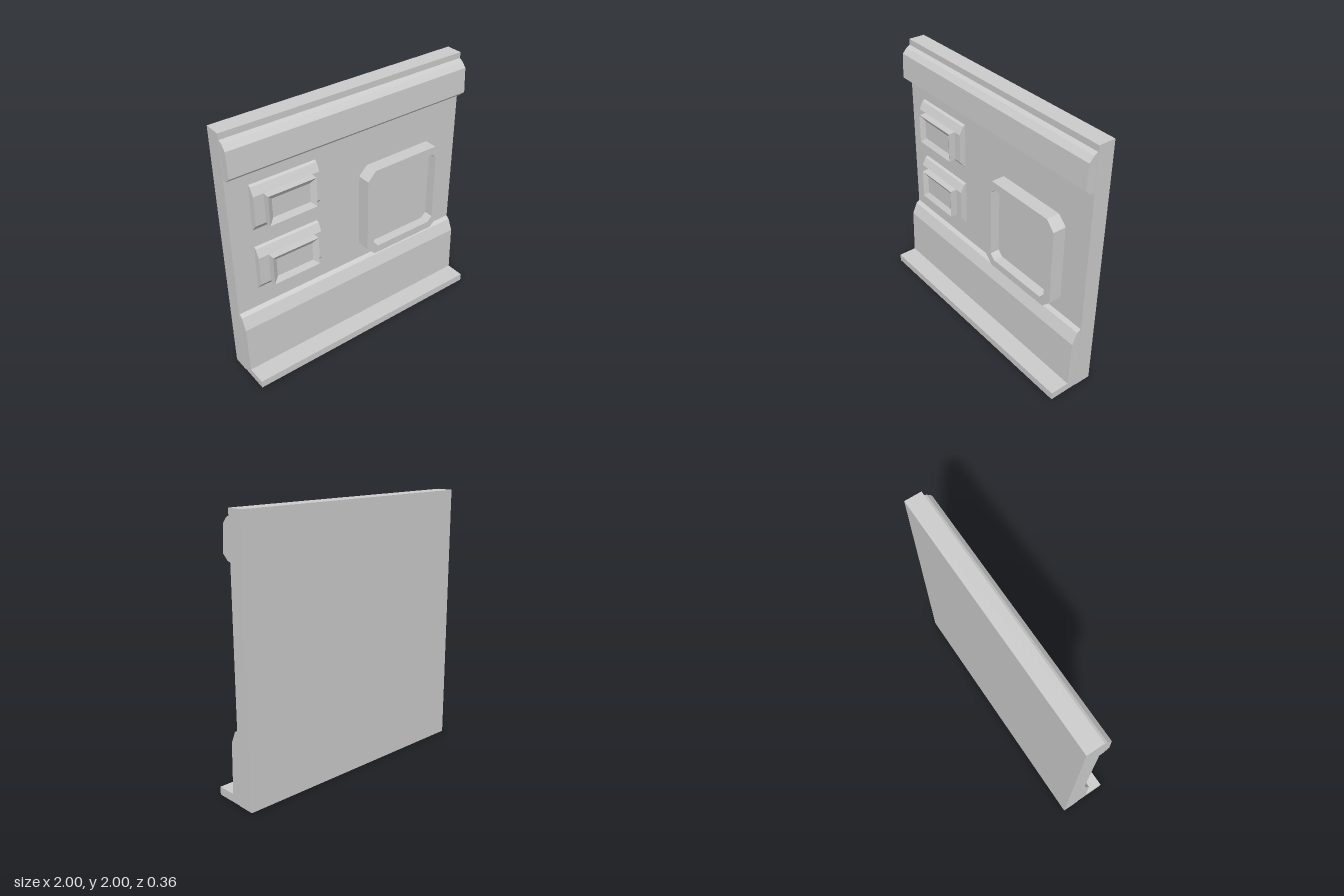
import * as THREE from 'three';

const WALL = -0.05; // front plane of the back slab

export function createModel() {
  const group = new THREE.Group();
  const material = new THREE.MeshStandardMaterial({ color: 0xcccccc, flatShading: true });

  const add = (name, geometry) => {
    const mesh = new THREE.Mesh(geometry, material);
    mesh.name = name;
    group.add(mesh);
  };
  const polygon = (points) => new THREE.Shape(points.map(([x, y]) => new THREE.Vector2(x, y)));
  const extrude = (shape, depth) =>
    new THREE.ExtrudeGeometry(shape, { depth, bevelEnabled: false });

  // Sweeps a (z, y) profile sideways from x0 to x1
  const sweep = (profile, x0, x1) =>
    extrude(polygon(profile), x1 - x0).rotateY(-Math.PI / 2).translate(x1, 0, 0);

  // Rectangle with cut corners
  const octagon = (x0, x1, y0, y1, c) => [
    [x0 + c, y0], [x1 - c, y0], [x1, y0 + c], [x1, y1 - c],
    [x1 - c, y1], [x0 + c, y1], [x0, y1 - c], [x0, y0 + c],
  ];

  // Block whose front sinks inward along four slopes to a smaller floor
  const dishedBlock = (w, h, back, front, inset, floor) => {
    const loops = [[w, h, back], [w, h, front], [w - 2 * inset, h - 2 * inset, floor]]
      .map(([a, b, z]) => [[-a / 2, -b / 2, z], [a / 2, -b / 2, z], [a / 2, b / 2, z], [-a / 2, b / 2, z]]);
    const positions = [];
    const quad = (a, b, c, d) => positions.push(...a, ...b, ...c, ...a, ...c, ...d);
    for (let k = 0; k < 2; k++) {
      for (let i = 0; i < 4; i++) {
        const j = (i + 1) % 4;
        quad(loops[k][i], loops[k][j], loops[k + 1][j], loops[k + 1][i]);
      }
    }
    quad(...loops[2]);
    const geometry = new THREE.BufferGeometry();
    geometry.setAttribute('position', new THREE.Float32BufferAttribute(positions, 3));
    geometry.computeVertexNormals();
    return geometry;
  };

  // Back slab
  add('wallSlab', new THREE.BoxGeometry(2, 2, 0.13).translate(0, 1, -0.115));

  // Long horizontal mouldings
  add('upperMoulding', sweep([
    [WALL, 1.955], [-0.02, 1.94], [0.015, 1.9], [0.025, 1.71], [-0.02, 1.67], [WALL, 1.665],
  ], -0.997, 0.997));
  add('lowerMouldingWithLedge', sweep([
    [WALL, 0.55], [-0.02, 0.53], [0.02, 0.44], [0.03, 0.06], [0.18, 0.06], [0.18, 0], [WALL, 0],
  ], -0.997, 0.997));

  // Two small raised plates, each carrying a dished block
  for (const [label, y] of [['upper', 1.21], ['lower', 0.71]]) {
    add(label + 'Plate', sweep([
      [WALL, y + 0.36], [-0.03, y + 0.35], [0, y + 0.29], [0, y + 0.06], [WALL, y],
    ], -0.83, -0.31));
    add(label + 'Block', dishedBlock(0.38, 0.23, 0, 0.055, 0.04, 0.03).translate(-0.56, y + 0.175, 0));
  }

  // Cut-corner frame with a recessed panel
  const frame = polygon(octagon(0.07, 0.78, 0.62, 1.36, 0.07));
  frame.holes.push(new THREE.Path(polygon(octagon(0.13, 0.72, 0.68, 1.3, 0.04)).getPoints()));
  add('panelFrame', extrude(frame, 0.105).translate(0, 0, WALL));
  add('framePanel', extrude(polygon(octagon(0.12, 0.73, 0.67, 1.31, 0.04)), 0.03).translate(0, 0, WALL));

  return group;
}
